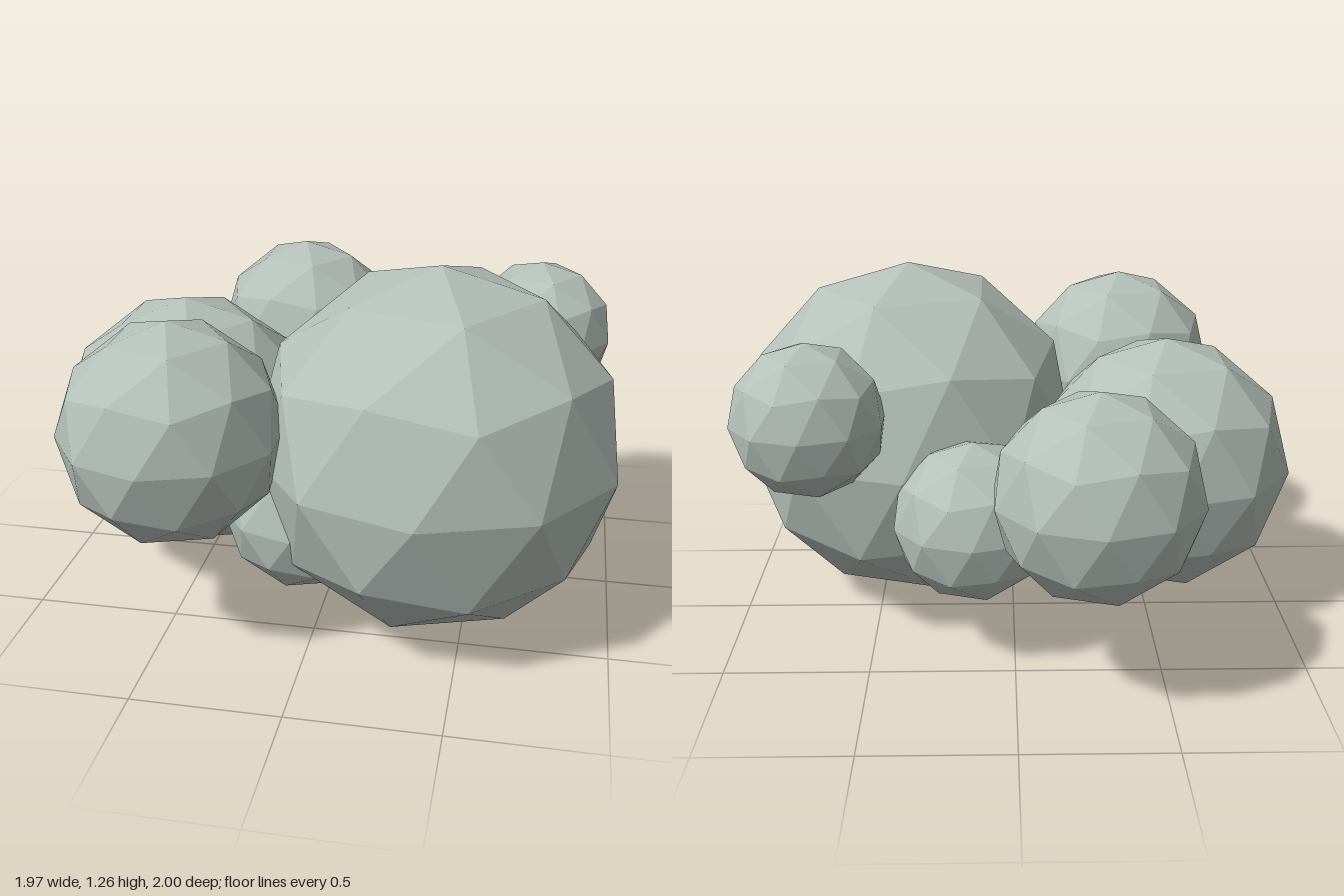
import * as THREE from 'three';

// Cluster of faceted balls: name, radius, centre x, y, z
const BALLS = [
  ['mainBall', 0.63, 0.38, 0.63, 0.27],
  ['sideBall', 0.463, -0.55, 0.563, 0.053],
  ['frontBall', 0.369, -0.43, 0.777, 0.63],
  ['backBall', 0.343, -0.257, 0.707, -0.657],
  ['lowerFrontBall', 0.297, -0.057, 0.394, 0.32],
  ['lowerBackBall', 0.279, 0.142, 0.493, -0.33],
  ['upperBackBall', 0.264, 0.688, 0.85, -0.315],
  ['tinyBall', 0.12, -0.21, 0.315, -0.17],
];

export function createModel() {
  const group = new THREE.Group();
  group.name = 'ballCluster';

  const stone = new THREE.MeshStandardMaterial({ color: 0xb5c0ba, flatShading: true });
  stone.name = 'paleGreyGreen';

  // 80-sided ball, turned so that a corner points straight up
  const ball = new THREE.IcosahedronGeometry(1, 1);
  ball.rotateZ(-Math.atan(2 / (1 + Math.sqrt(5))));
  ball.computeVertexNormals();

  for (const [name, radius, x, y, z] of BALLS) {
    const mesh = new THREE.Mesh(ball, stone);
    mesh.name = name;
    mesh.scale.setScalar(radius);
    mesh.position.set(x, y, z);
    group.add(mesh);
  }
  return group;
}
